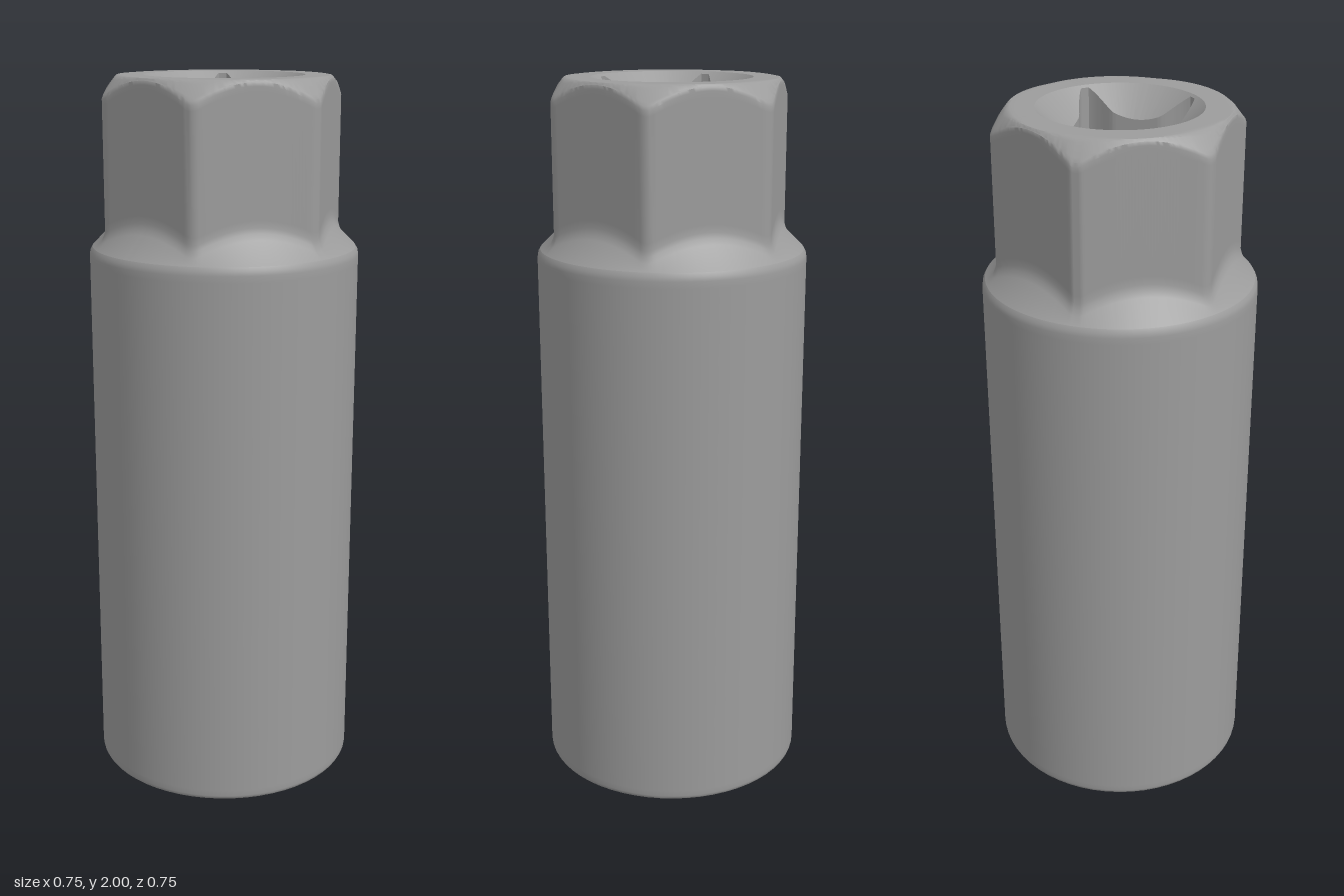
import * as THREE from 'three';
import { toCreasedNormals } from 'three/addons/utils/BufferGeometryUtils.js';

const DEG = Math.PI / 180;
const material = new THREE.MeshStandardMaterial({ color: 0x9c9c9c });

// Distance of an angle from the nearest multiple of a step
const fold = (t, step) => Math.abs(t - Math.round(t / step) * step);

// Radius of a hexagon (corners on x) with filleted corners
function hexRadius(t, apothem, fillet) {
  const fromCorner = fold(t, 60 * DEG);
  const centre = (apothem - fillet) / Math.cos(30 * DEG);
  const tangent = Math.atan2(fillet * 0.5, centre + fillet * Math.cos(30 * DEG));
  if (fromCorner < tangent) {
    const s = centre * Math.sin(fromCorner);
    return centre * Math.cos(fromCorner) + Math.sqrt(fillet * fillet - s * s);
  }
  return apothem / Math.cos(30 * DEG - fromCorner);
}

// Radius of the square drive hole, with relieved and rounded corners
function driveRadius(t) {
  const a = fold(t, 90 * DEG);
  const relief = 0.03 * THREE.MathUtils.smoothstep(a, 24 * DEG, 44 * DEG);
  return Math.min(0.136 / Math.cos(a) + relief, 0.212);
}

// Sweep a profile of [radius, y] points, which may vary with angle, around y.
// Rising profiles face outward, falling profiles face inward.
function sweep(name, profile, segments = 240) {
  const positions = [], indices = [];
  let rows = 0;
  for (let i = 0; i <= segments; i++) {
    const t = (i / segments) * Math.PI * 2;
    const points = profile(t);
    rows = points.length;
    for (const [r, y] of points) positions.push(r * Math.cos(t), y, r * Math.sin(t));
  }
  for (let i = 0; i < segments; i++) {
    for (let j = 0; j < rows - 1; j++) {
      const a = i * rows + j, b = a + 1, c = b + rows, d = a + rows;
      indices.push(a, b, c, a, c, d);
    }
  }
  const geometry = new THREE.BufferGeometry();
  geometry.setAttribute('position', new THREE.Float32BufferAttribute(positions, 3));
  geometry.setIndex(indices);
  const mesh = new THREE.Mesh(toCreasedNormals(geometry, 35 * DEG), material);
  mesh.name = name;
  return mesh;
}

export function createModel() {
  const group = new THREE.Group();
  group.name = 'socket';

  // Cylindrical sleeve with softened edges
  group.add(sweep('sleeve', () => [
    [0.36, 0], [0.366, 0.001], [0.371, 0.004], [0.373, 0.008], [0.374, 0.014], [0.374, 0.03],
    [0.374, 1.5], [0.374, 1.518], [0.372, 1.53], [0.366, 1.54],
  ], 60));

  // Sloping shoulder blended into the hexagonal head, with a softly chamfered top
  group.add(sweep('hexHead', t => {
    const h = hexRadius(t, 0.296, 0.037);
    const foot = 1.54 + 0.366 - h;
    const blend = Math.min(0.012, (0.366 - h) * 0.5);
    const c = h - 0.29;
    const edge = 2 - c * 1.1;
    return [
      [0.366, 1.54], [h + blend, foot - blend], [h + blend * 0.35, foot + blend * 0.3],
      [h, foot + blend * 1.5], [h, foot + blend * 1.5 + 0.02],
      [h, edge - 0.025], [h, edge - 0.01], [h - 0.08 * c, edge], [h - 0.25 * c, edge + 0.2 * c],
      [0.29 + 0.25 * c, 2 - 0.25 * c], [0.29, 2 - 0.05 * c], [0.282, 2], [0.27, 2], [0.219, 2],
    ];
  }));

  // Square drive hole with a conical lead-in and a flat floor
  group.add(sweep('driveHole', t => {
    const q = driveRadius(t);
    return [[0.219, 2], [q, 2 - (0.219 - q) * 0.9], [q, 1.62], [0.122, 1.62]];
  }));

  // Round passage through the web
  group.add(sweep('throughHole', () => [[0.122, 1.62], [0.122, 1.45]], 16));

  // Long inner bore opening into the hexagonal socket and its flared mouth
  group.add(sweep('hexSocket', t => {
    const h = hexRadius(t, 0.231, 0.008);
    const depth = 0.077 + (0.267 - h) * 0.4;
    return [
      [0.122, 1.45], [0.23, 1.45], [0.23, 0.55], [h, 0.55], [h, depth],
      [h + (0.355 - h) * 0.5, depth * 0.58], [0.348, 0.014], [0.355, 0.004], [0.36, 0],
    ];
  }));

  return group;
}
